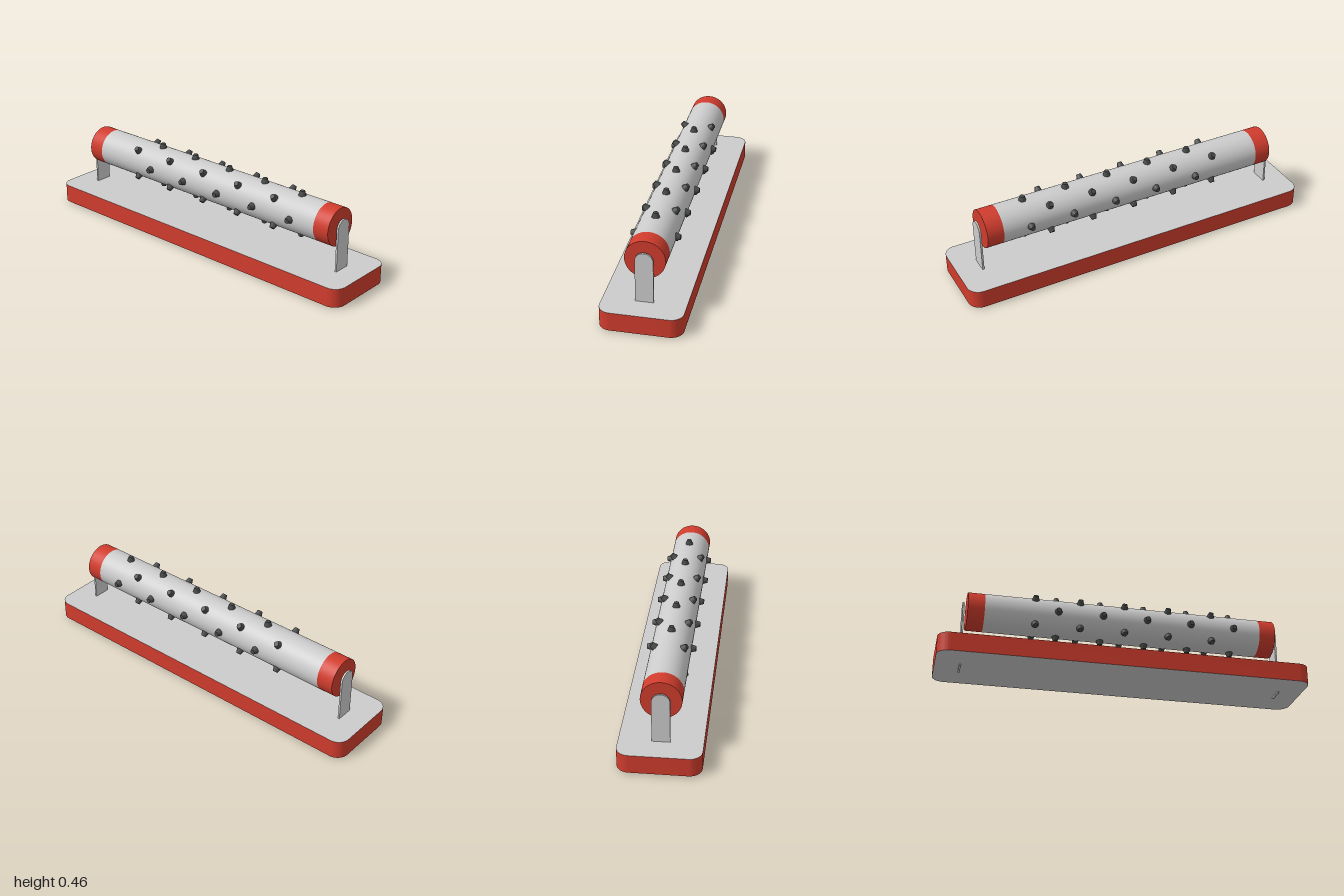
import * as THREE from 'three';
import { toCreasedNormals } from 'three/addons/utils/BufferGeometryUtils.js';

export function createModel() {
  const model = new THREE.Group();
  model.name = 'studdedRollerOnStand';

  const material = (name, color) => {
    const m = new THREE.MeshStandardMaterial({ color });
    m.name = name;
    return m;
  };
  const red = material('red', 0xd03c2d);
  const grey = material('lightGrey', 0xcccccc);
  const dark = material('darkGrey', 0x484a4a);

  const add = (name, geometry, mat, parent = model) => {
    const mesh = new THREE.Mesh(geometry, mat);
    mesh.name = name;
    parent.add(mesh);
    return mesh;
  };

  // Base: rounded slab with grey faces and a red rim
  const w = 1, d = 0.211, r = 0.065;
  const slab = new THREE.Shape();
  slab.moveTo(-w + r, -d);
  slab.absarc(w - r, -d + r, r, -Math.PI / 2, 0);
  slab.absarc(w - r, d - r, r, 0, Math.PI / 2);
  slab.absarc(-w + r, d - r, r, Math.PI / 2, Math.PI);
  slab.absarc(-w + r, -d + r, r, Math.PI, Math.PI * 1.5);
  const baseGeometry = new THREE.ExtrudeGeometry(slab, { depth: 0.102, bevelEnabled: false, curveSegments: 10 });
  baseGeometry.rotateX(-Math.PI / 2);
  add('base', toCreasedNormals(baseGeometry, 0.6), [grey, red]).position.y = 0.008;

  // Brackets: thin round-topped uprights passing through the base
  const half = 0.046, top = 0.385, thick = 0.01;
  const upright = new THREE.Shape();
  upright.moveTo(-half, 0);
  upright.lineTo(half, 0);
  upright.absarc(0, top - half, half, 0, Math.PI);
  upright.closePath();
  const bracketGeometry = new THREE.ExtrudeGeometry(upright, { depth: thick, bevelEnabled: false, curveSegments: 16 });
  bracketGeometry.translate(0, 0, -thick / 2);
  bracketGeometry.rotateY(Math.PI / 2);
  const creasedBracket = toCreasedNormals(bracketGeometry, 0.6);
  for (const side of [-1, 1]) {
    add(side > 0 ? 'leftBracket' : 'rightBracket', creasedBracket, grey).position.x = side * 0.868;
  }

  // Roller: grey drum with a red cap at each end
  const roller = new THREE.Group();
  roller.name = 'roller';
  roller.position.y = 0.337;
  model.add(roller);
  const radius = 0.103, bodyHalf = 0.76, capWidth = 0.09;
  const drum = (length) => new THREE.CylinderGeometry(radius, radius, length, 48).rotateZ(Math.PI / 2);
  add('drum', drum(bodyHalf * 2), grey, roller);
  for (const side of [-1, 1]) {
    add(side > 0 ? 'leftCap' : 'rightCap', drum(capWidth), red, roller).position.x = side * (bodyHalf + capWidth / 2);
  }

  // Studs: tapered pegs, alternate rings turned by an eighth of a circle
  const studGeometry = new THREE.CylinderGeometry(0.013, 0.0225, 0.032, 12).translate(0, radius + 0.008, 0);
  for (let ring = 0; ring < 10; ring++) {
    for (let i = 0; i < 4; i++) {
      const stud = add('stud', studGeometry, dark, roller);
      stud.position.x = -0.488 + ring * 0.122;
      stud.rotation.x = i * Math.PI / 2 + (ring % 2 ? 0 : Math.PI / 4);
    }
  }

  return model;
}
